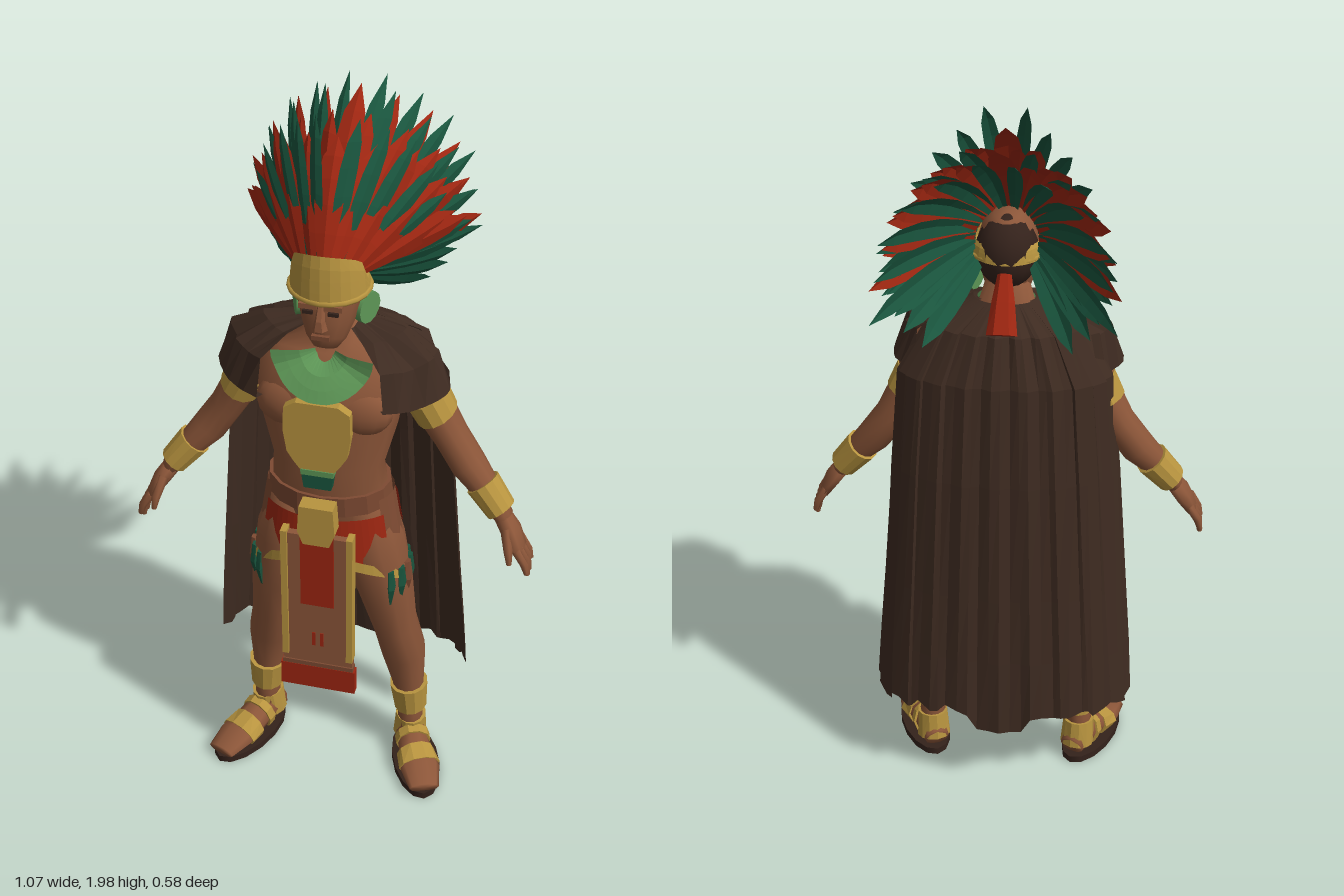
import * as THREE from 'three';

const mat = (name, color) => Object.assign(new THREE.MeshStandardMaterial({ color, side: THREE.DoubleSide }), { name });
const SKIN = mat('skin', 0x8c5639), LEATHER = mat('leather', 0x7d4a32), CAPE = mat('dark cloth', 0x3e2b21);
const GOLD = mat('gold', 0xb8943f), GREEN = mat('feather green', 0x19543d), JADE = mat('jade', 0x5d9656);
const RED = mat('red', 0x9e2611), DARK = mat('dark hair', 0x34221b);

const V = (x, y, z) => new THREE.Vector3(x, y, z);
const { sin, cos, PI, abs, max, sqrt, sign } = Math;
const lerp = THREE.MathUtils.lerp;
const wobble = (i, j) => sin(i * 12.99 + j * 78.23 + sin(i * 3.7 + j * 1.3) * 4);

function add(parent, name, geometry, material) {
  const mesh = new THREE.Mesh(geometry, material);
  mesh.name = name;
  parent.add(mesh);
  return mesh;
}

// Surface through rows of points; faces along (across x down)
function sheet(rows, closed = false, flat = true) {
  const n = rows[0].length, pos = [], idx = [];
  rows.forEach(r => r.forEach(p => pos.push(p.x, p.y, p.z)));
  for (let j = 0; j < rows.length - 1; j++) for (let i = 0; i < (closed ? n : n - 1); i++) {
    const a = j * n + i, b = j * n + (i + 1) % n, c = a + n, d = b + n;
    idx.push(a, b, d, a, d, c);
  }
  let g = new THREE.BufferGeometry();
  g.setAttribute('position', new THREE.Float32BufferAttribute(pos, 3));
  g.setIndex(idx);
  if (flat) g = g.toNonIndexed();
  g.computeVertexNormals();
  return g;
}

// Capped body part through sections [x, y, z, half width, half depth]
function limb(s, { sides = 12, flat = false, ref = V(0, 0, 1) } = {}) {
  const c = s.map(q => V(q[0], q[1], q[2]));
  const rows = s.map((q, i) => {
    const t = c[Math.min(i + 1, s.length - 1)].clone().sub(c[max(i - 1, 0)]).normalize();
    const side = t.clone().cross(ref).normalize(), other = side.clone().cross(t);
    return Array.from({ length: sides }, (_, k) => {
      const a = -k / sides * 2 * PI;
      return c[i].clone().addScaledVector(side, q[3] * cos(a)).addScaledVector(other, q[4] * sin(a));
    });
  });
  rows.unshift(rows[0].map(() => c[0].clone()));
  rows.push(rows[0].map(() => c[c.length - 1].clone()));
  return sheet(rows, true, flat);
}

const grid = (nu, nv, f) => sheet(Array.from({ length: nv + 1 }, (_, j) =>
  Array.from({ length: nu + 1 }, (_, i) => V(...f(i / nu, j / nv)))));

function box(parent, name, material, w, h, d, x, y, z) {
  const m = add(parent, name, new THREE.BoxGeometry(w, h, d), material);
  m.position.set(x, y, z);
  return m;
}

function ball(parent, name, material, x, y, z, rx, ry, rz) {
  const m = add(parent, name, new THREE.SphereGeometry(1, 14, 10), material);
  m.position.set(x, y, z);
  m.scale.set(rx, ry, rz);
  return m;
}

function plate(parent, name, material, pts, depth, z) {
  const shape = new THREE.Shape(pts.map(p => new THREE.Vector2(...p)));
  const m = add(parent, name, new THREE.ExtrudeGeometry(shape, { depth, bevelEnabled: false }), material);
  m.position.z = z;
  return m;
}

// Ridged blade at fan angle a, swept from the headband to its tip and slanted back at the outer edge
function feather(parent, a, reach, rise, tipZ, sweep, baseZ, width, material) {
  const base = V(sin(a) * 0.08, 1.62 + cos(a) * 0.045, baseZ + 0.075 * max(0, cos(a)));
  const tip = V(sin(a) * reach, 1.64 + cos(a) * rise, tipZ - sweep * abs(sin(a)));
  const mid = base.clone().lerp(tip, 0.5).add(V(sin(a) * 0.015, cos(a) * 0.035 + 0.015, 0.01));
  const curve = new THREE.QuadraticBezierCurve3(base, mid, tip);
  const across = V(cos(a), -sin(a), -0.75 * sign(a) * max(0, cos(a))).normalize();
  const out = V(sin(a), cos(a), 1).normalize();
  const rows = [0.4, 0.75, 1, 1, 0.8, 0].map((w, i) => {
    const p = curve.getPoint(i / 5), h = w * width / 2;
    return [p.clone().addScaledVector(across, -h), p.clone().addScaledVector(out, h * 0.3), p.clone().addScaledVector(across, h)];
  });
  add(parent, 'feather', sheet(rows.reverse()), material);
}

function headdress(parent) {
  const g = new THREE.Group();
  g.name = 'headdress';
  parent.add(g);
  // Mirrored row of feathers between two fan angles
  const fan = (n, from, to, ...rest) => {
    for (let i = 0; i < n; i++) for (const s of [-1, 1]) {
      const a = lerp(from, to, i / (n - 1));
      if (a > 0 || s > 0) feather(g, s * a, ...rest.map((r, k) => k < 3 ? r + 0.015 * wobble(i, k) : r));
    }
  };
  fan(5, 0, 1.42, 0.275, 0.285, 0.03, 0.14, 0.12, 0.07, RED);
  fan(5, 0.2, 1.25, 0.27, 0.345, 0.06, 0.14, 0.1, 0.046, GREEN);
  fan(5, 0.16, 1.5, 0.3, 0.29, -0.1, 0.03, 0.095, 0.066, RED);
  fan(5, 0.3, 1.75, 0.3, 0.325, -0.19, 0, 0.085, 0.05, GREEN);
  // Rear row of alternating colours
  fan(6, 0, 1.65, 0.295, 0.315, -0.2, 0.02, 0.075, 0.066, RED);
  fan(6, 0.16, 1.85, 0.3, 0.315, -0.275, 0, 0.075, 0.052, GREEN);
  fan(5, 1.6, 2.4, 0.29, 0.27, -0.18, 0, 0.09, 0.058, GREEN);
  // Gold band, tall at the front
  add(g, 'headband', grid(24, 4, (u, v) => {
    const a = PI - u * 2 * PI, r = lerp(0.088, 0.1, sqrt(v)), top = 1.615 + 0.088 * sqrt(max(0, cos(a)));
    return [-sin(a) * r, lerp(top, 1.572, v), 0.125 + cos(a) * (r + 0.006)];
  }), GOLD);
  const trim = add(g, 'headbandTrim', new THREE.TorusGeometry(0.099, 0.008, 6, 20), GOLD);
  trim.rotation.x = PI / 2;
  trim.position.set(0, 1.577, 0.128);
  // Knot at the nape
  add(g, 'tassel', limb([[0, 1.55, 0.02, 0.018, 0.015], [0, 1.49, -0.02, 0.03, 0.02], [0, 1.42, -0.065, 0.04, 0.022]], { sides: 6, flat: true }), RED);
}

function headAndTorso(g) {
  add(g, 'torso', limb([[0, 0.82, 0.12, 0.12, 0.08], [0, 0.9, 0.12, 0.16, 0.1], [0, 1, 0.135, 0.155, 0.1], [0, 1.08, 0.145, 0.147, 0.092],
    [0, 1.2, 0.14, 0.178, 0.105], [0, 1.3, 0.13, 0.195, 0.112], [0, 1.38, 0.1, 0.165, 0.085], [0, 1.42, 0.09, 0.08, 0.062], [0, 1.5, 0.11, 0.055, 0.055]], { sides: 16 }), SKIN);
  for (const s of [-1, 1]) {
    ball(g, 'chestMuscle', SKIN, s * 0.085, 1.26, 0.19, 0.092, 0.075, 0.05);
    const ear = add(g, 'earDisc', new THREE.CylinderGeometry(0.042, 0.042, 0.02, 12), JADE);
    ear.rotation.set(0, -s * 0.4, PI / 2);
    ear.position.set(s * 0.087, 1.51, 0.105);
    box(g, 'eye', DARK, 0.026, 0.009, 0.008, s * 0.032, 1.548, 0.222);
    box(g, 'brow', SKIN, 0.045, 0.014, 0.02, s * 0.032, 1.565, 0.217);
  }
  add(g, 'head', limb([[0, 1.425, 0.175, 0.03, 0.03], [0, 1.45, 0.165, 0.05, 0.06], [0, 1.49, 0.145, 0.066, 0.08], [0, 1.54, 0.135, 0.077, 0.09],
    [0, 1.6, 0.125, 0.08, 0.092], [0, 1.65, 0.115, 0.065, 0.075], [0, 1.68, 0.11, 0.035, 0.045]], { sides: 14 }), SKIN);
  add(g, 'nose', limb([[0, 1.565, 0.215, 0.009, 0.012], [0, 1.53, 0.227, 0.013, 0.016], [0, 1.505, 0.228, 0.02, 0.018]], { sides: 6, flat: true }), SKIN);
  box(g, 'mouth', LEATHER, 0.045, 0.012, 0.012, 0, 1.478, 0.222);
  ball(g, 'hair', DARK, 0, 1.58, 0.1, 0.082, 0.1, 0.082);
  // Jade collar, gold breastplate and pendant
  add(g, 'collar', grid(16, 3, (u, v) => {
    const a = lerp(-1.6, 1.6, u), r = lerp(0.025, 0.13, v);
    return [sin(a) * r, 1.418 - cos(a) * r * 0.84, 0.18 + 0.085 * sqrt(v) * max(0.45, cos(a))];
  }), JADE);
  plate(g, 'breastplate', GOLD, [[-0.045, 1.11], [0.045, 1.11], [0.06, 1.13], [0.078, 1.16], [0.087, 1.22], [0.085, 1.29], [0.055, 1.31],
    [-0.055, 1.31], [-0.085, 1.29], [-0.087, 1.22], [-0.078, 1.16], [-0.06, 1.13]], 0.025, 0.245);
  plate(g, 'pendant', GREEN, [[-0.036, 1.05], [0.036, 1.05], [0.042, 1.095], [-0.042, 1.095]], 0.025, 0.242);
  box(g, 'pendantBar', JADE, 0.086, 0.016, 0.028, 0, 1.1, 0.256);
}

// One arm and leg, mirrored for the other side
function limbs(g) {
  add(g, 'arm', limb([[0.17, 1.36, 0.07, 0.04, 0.05], [0.205, 1.31, 0.06, 0.06, 0.068], [0.245, 1.22, 0.055, 0.052, 0.062], [0.3, 1.12, 0.05, 0.046, 0.052],
    [0.35, 1.045, 0.06, 0.047, 0.05], [0.42, 0.965, 0.08, 0.034, 0.036], [0.455, 0.915, 0.09, 0.025, 0.032]]), SKIN);
  add(g, 'upperArmband', limb([[0.232, 1.245, 0.057, 0.059, 0.068], [0.262, 1.185, 0.052, 0.056, 0.065]], { flat: true }), GOLD);
  add(g, 'wristCuff', limb([[0.39, 1, 0.07, 0.047, 0.05], [0.445, 0.933, 0.085, 0.04, 0.046]], { flat: true }), GOLD);
  add(g, 'hand', limb([[0.45, 0.92, 0.09, 0.024, 0.03], [0.478, 0.88, 0.1, 0.024, 0.045], [0.503, 0.835, 0.11, 0.016, 0.045]], { sides: 8 }), SKIN);
  for (let i = 0; i < 4; i++) {
    const z = 0.074 + i * 0.024, drop = i % 3 ? 0.08 : 0.06;
    add(g, 'finger', limb([[0.498, 0.85, z, 0.012, 0.012], [0.522, 0.81, z, 0.011, 0.011], [0.53, 0.84 - drop, z, 0.007, 0.007]], { sides: 6 }), SKIN);
  }
  add(g, 'thumb', limb([[0.465, 0.9, 0.125, 0.014, 0.014], [0.48, 0.85, 0.155, 0.012, 0.012], [0.485, 0.815, 0.162, 0.007, 0.007]], { sides: 6 }), SKIN);
  add(g, 'leg', limb([[0.085, 0.95, 0.12, 0.07, 0.09], [0.115, 0.8, 0.13, 0.088, 0.1], [0.15, 0.64, 0.115, 0.075, 0.085], [0.172, 0.5, 0.095, 0.06, 0.072],
    [0.192, 0.38, 0.068, 0.062, 0.064], [0.205, 0.26, 0.058, 0.045, 0.046], [0.212, 0.14, 0.052, 0.036, 0.042], [0.215, 0.05, 0.05, 0.04, 0.045]]), SKIN);
  add(g, 'ankleCuff', limb([[0.207, 0.25, 0.058, 0.054, 0.056], [0.213, 0.16, 0.052, 0.046, 0.05]], { flat: true }), GOLD);
  // Sandalled foot, turned outwards
  const foot = new THREE.Group();
  foot.name = 'foot';
  foot.position.set(0.212, 0, 0.045);
  foot.rotation.y = 0.38;
  g.add(foot);
  const up = { ref: V(0, 1, 0), sides: 10 };
  add(foot, 'footBody', limb([[0, 0.05, -0.04, 0.035, 0.035], [0, 0.065, 0, 0.042, 0.055], [0, 0.055, 0.07, 0.045, 0.043], [0.005, 0.04, 0.15, 0.056, 0.028], [0.005, 0.032, 0.222, 0.042, 0.016]], up), SKIN);
  add(foot, 'toeStrap', limb([[0, 0.048, 0.09, 0.054, 0.043], [0.005, 0.04, 0.14, 0.06, 0.034]], { ...up, flat: true }), GOLD);
  add(foot, 'heelStrap', limb([[0, 0.045, -0.005, 0.048, 0.048], [0, 0.125, 0.005, 0.043, 0.049]], { flat: true }), GOLD);
  add(foot, 'instepStrap', limb([[0, 0.06, 0.035, 0.05, 0.055], [0, 0.055, 0.06, 0.05, 0.052]], { ...up, flat: true }), GOLD);
  const sole = add(foot, 'sole', new THREE.CylinderGeometry(1, 1, 0.02, 14), DARK);
  sole.scale.set(0.066, 1, 0.145);
  sole.position.set(0.003, 0.01, 0.088);
  // Hip wrap with trim and hanging feathers
  const wrap = (a0, a1, y0, y1, grow) => grid(8, 3, (u, v) => {
    const a = lerp(a1, a0, u), y = lerp(y0(a), y1(a), v), k = (0.98 - y) / 0.28;
    return [sin(a) * (0.163 + 0.045 * k + grow), y, 0.125 + cos(a) * (0.11 + 0.012 * k + grow)];
  });
  const hem = a => 0.835 - 0.075 * a;
  add(g, 'redWrap', wrap(0.2, 1.05, () => 0.935, hem, 0.008), RED);
  add(g, 'wrapTrim', wrap(0.2, 1.25, a => hem(a) + 0.008, a => hem(a) - 0.024, 0.012), GOLD);
  add(g, 'sideWrap', wrap(1, 2.8, () => 0.98, a => 0.7 + 0.02 * sin(a * 14), 0.006), LEATHER);
  add(g, 'rearRedPatch', wrap(1.75, 2.1, () => 0.95, () => 0.85, 0.01), RED);
  for (let i = 0; i < 7; i++) {
    const a = 1 + i * 0.24, x = sin(a) * 0.211, z = 0.125 + cos(a) * 0.125;
    add(g, 'hipFeather', limb([[x, 0.755, z, 0.01, 0.012], [x * 1.02, 0.7, z, 0.012, 0.019], [x, 0.632, z - 0.006, 0.003, 0.004]], { sides: 5, flat: true }), i % 3 === 2 ? LEATHER : GREEN);
  }
}

function apron(g) {
  add(g, 'belt', limb([[0, 0.955, 0.128, 0.168, 0.112], [0, 1.015, 0.135, 0.163, 0.108]], { sides: 16, flat: true }), LEATHER);
  plate(g, 'buckle', GOLD, [[-0.035, 0.88], [0.035, 0.88], [0.05, 0.92], [0.045, 1], [-0.045, 1], [-0.05, 0.92]], 0.045, 0.242);
  box(g, 'apronPanel', SKIN, 0.19, 0.46, 0.02, 0, 0.67, 0.266);
  box(g, 'redPanel', RED, 0.09, 0.27, 0.008, 0, 0.805, 0.276);
  box(g, 'redHem', RED, 0.205, 0.075, 0.026, 0, 0.415, 0.268);
  box(g, 'hemLine', LEATHER, 0.195, 0.014, 0.024, 0, 0.459, 0.268);
  for (const s of [-1, 1]) {
    box(g, 'apronEdge', GOLD, 0.017, 0.42, 0.034, s * 0.088, 0.7, 0.268);
    box(g, 'motif', RED, 0.009, 0.045, 0.006, s * 0.011, 0.55, 0.275);
  }
}

function cape(g) {
  // Long folded back, rows of [y, half width, side z, back z]
  const keys = [[1.47, 0.085, 0.08, 0.01], [1.41, 0.2, 0.04, -0.06], [1.28, 0.275, 0.02, -0.1], [1, 0.3, 0.02, -0.125], [0.65, 0.325, 0.01, -0.14], [0.45, 0.34, 0, -0.15], [0.28, 0.35, -0.01, -0.16]];
  add(g, 'cape', sheet(keys.map(([y, w, zs, zb], j) => Array.from({ length: 37 }, (_, i) => {
    const u = i / 18 - 1, fold = j ? 0.01 * sin(i * 1.9 + j * 0.3) : 0;
    const hem = j === 6 ? (abs(u) < 0.14 ? -0.06 : 0.015 * wobble(i, 1)) : 0;
    return V(sin(u * PI / 2) * (w + fold), y + hem, lerp(zs, zb, max(0, cos(u * PI / 2)) ** 0.8) + fold * 0.7);
  }))), CAPE);
  // Shoulder flaps, rows of [y, half width, front depth, back depth]
  const rings = [[1.465, 0.075, 0.06, 0.04], [1.44, 0.175, 0.12, 0.08], [1.39, 0.265, 0.185, 0.11], [1.3, 0.297, 0.215, 0.12], [1.28, 0.265, 0.17, 0.1]];
  for (const s of [-1, 1]) add(g, 'shoulderFlap', sheet(rings.map(([y, rx, f, b], j) => Array.from({ length: 12 }, (_, i) => {
    const a = s * lerp(0.58, 2.2, (s > 0 ? 11 - i : i) / 11), n = j ? 0.01 * wobble(i, j) : 0;
    return V(sin(a) * (rx + n), y + n - (j > 2 ? 0.015 * sin(a) ** 2 : 0), 0.07 + cos(a) * ((cos(a) > 0 ? f : b) + n));
  }))), CAPE);
}

export function createModel() {
  const model = new THREE.Group();
  model.name = 'featheredWarrior';
  headAndTorso(model);
  headdress(model);
  apron(model);
  cape(model);
  for (const s of [1, -1]) {
    const side = new THREE.Group();
    side.name = s > 0 ? 'leftLimbs' : 'rightLimbs';
    side.scale.x = s;
    limbs(side);
    model.add(side);
  }
  return model;
}
